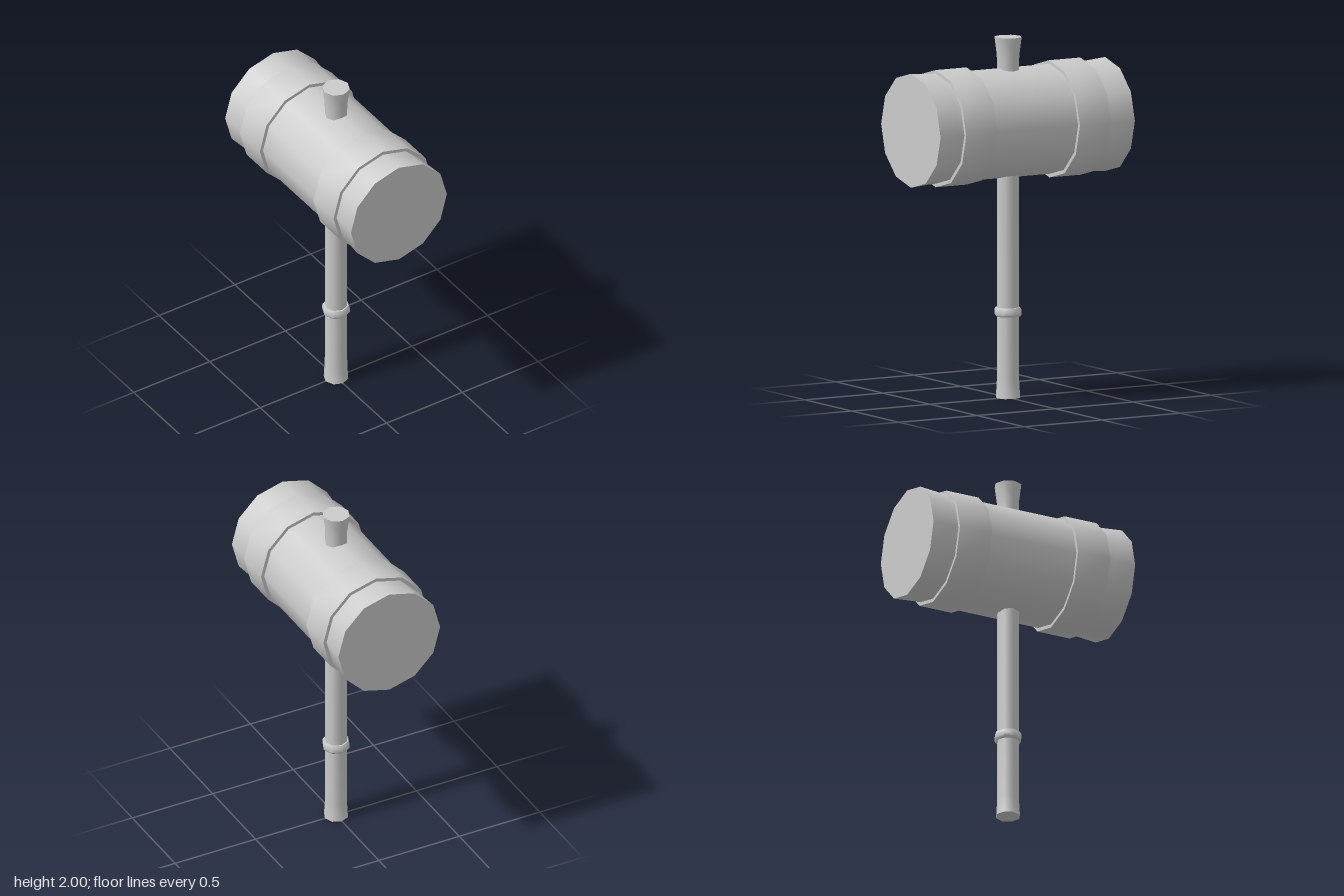
import * as THREE from 'three';
import { toCreasedNormals } from 'three/addons/utils/BufferGeometryUtils.js';

const material = new THREE.MeshStandardMaterial({ color: 0xcccccc });

// Turned part: profile of [radius, height] from bottom to top, smooth around, sharp at rims
function turned(name, profile, sides) {
  const points = profile.map(([r, y]) => new THREE.Vector2(r, y));
  const geometry = toCreasedNormals(new THREE.LatheGeometry(points, sides), 0.9);
  const mesh = new THREE.Mesh(geometry, material);
  mesh.name = name;
  return mesh;
}

export function createModel() {
  const model = new THREE.Group();
  model.name = 'mallet';

  // Octagonal handle, flared at the foot and above the head
  model.add(turned('handle', [
    [0, 0], [0.069, 0], [0.063, 0.1], [0.062, 0.46], [0.062, 1.83],
    [0.064, 1.9], [0.077, 2], [0, 2],
  ], 8));

  // Bevelled collar above the grip
  model.add(turned('gripCollar', [
    [0.058, 0.452], [0.07, 0.452], [0.077, 0.462],
    [0.077, 0.49], [0.07, 0.502], [0.058, 0.502],
  ], 8));

  // Twelve-sided head lying along z
  const head = new THREE.Group();
  head.name = 'head';
  head.position.y = 1.525;
  head.rotation.x = Math.PI / 2;
  head.add(turned('headBarrel', [
    [0, -0.622], [0.316, -0.622], [0.306, -0.5], [0.305, -0.46],
    [0.305, 0.46], [0.306, 0.5], [0.316, 0.622], [0, 0.622],
  ], 12));

  // Raised bands near both ends
  for (const side of [-1, 1]) {
    const band = turned(side > 0 ? 'frontBand' : 'backBand', [
      [0.3, -0.099], [0.325, -0.099], [0.325, 0.099], [0.3, 0.099],
    ], 12);
    band.position.y = side * 0.364;
    head.add(band);
  }
  model.add(head);
  return model;
}
